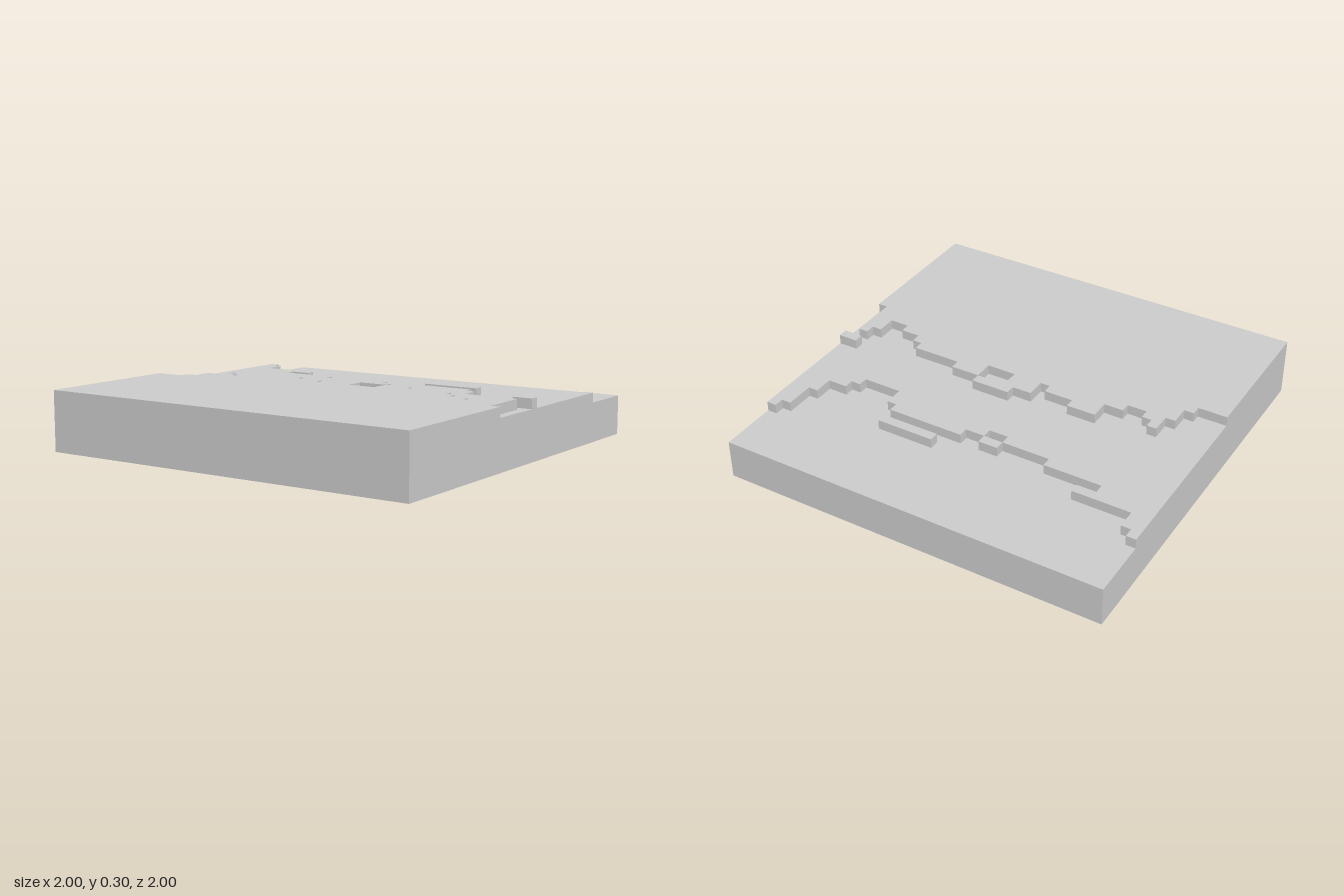
import * as THREE from 'three';

const STEP = 0.05; // height of one terrace layer

export function createModel() {
  const group = new THREE.Group();
  const material = new THREE.MeshStandardMaterial({ color: 0xcccccc, flatShading: true });

  function add(name, geometry, x, y, z) {
    const mesh = new THREE.Mesh(geometry, material);
    mesh.name = name;
    mesh.position.set(x, y, z);
    group.add(mesh);
  }

  // Slab whose back edge follows a stepped line; each step is [right end x, z]
  function addTerrace(name, top, steps) {
    const shape = new THREE.Shape();
    shape.moveTo(-1, 1);
    let x = -1;
    for (const [end, z] of steps) {
      shape.lineTo(x, z);
      shape.lineTo(end, z);
      x = end;
    }
    shape.lineTo(1, 1);
    const geometry = new THREE.ExtrudeGeometry(shape, { depth: STEP, bevelEnabled: false });
    geometry.rotateX(Math.PI / 2);
    add(name, geometry, 0, top, 0);
  }

  // Row of raised blocks, one step deep, standing off the terrace edge
  function addBlock(name, top, x0, x1, z0) {
    add(name, new THREE.BoxGeometry(x1 - x0, STEP, STEP), (x0 + x1) / 2, top - STEP / 2, z0 + STEP / 2);
  }

  // Ground slab
  add('base', new THREE.BoxGeometry(2, 0.2, 2), 0, 0.1, 0);

  // Middle terrace and its loose blocks
  addTerrace('middleTerrace', 0.25, [
    [-0.95, -0.7], [-0.9, -0.65], [-0.7, -0.55], [-0.4, -0.45], [-0.15, -0.4],
    [-0.05, -0.35], [0.05, -0.4], [0.45, -0.45], [0.5, -0.4], [0.7, -0.3],
    [0.75, -0.35], [0.85, -0.4], [0.9, -0.5], [0.95, -0.65], [1, -0.7],
  ]);
  addBlock('middleLedge', 0.25, -0.7, -0.6, -0.55);
  addBlock('middlePitWall', 0.25, -0.15, -0.05, -0.45);
  addBlock('middleIsland', 0.25, 0.15, 0.45, -0.55);

  // Upper terrace and its loose blocks
  addTerrace('upperTerrace', 0.3, [
    [-0.85, 0.25], [-0.8, 0.2], [-0.75, 0.1], [-0.7, 0], [-0.65, 0.05],
    [-0.55, 0.1], [-0.45, 0.05], [-0.3, -0.05], [-0.15, 0], [-0.1, 0.05],
    [0, -0.05], [0.05, -0.1], [0.2, 0.05], [0.35, -0.05], [0.6, 0],
    [0.65, 0.05], [0.75, 0.1], [0.85, 0.15], [0.9, 0.05], [0.95, 0], [1, 0.25],
  ]);
  addBlock('upperPitWall', 0.3, 0.05, 0.2, -0.1);
  addBlock('upperIsland', 0.3, 0.9, 1, -0.1);

  return group;
}
